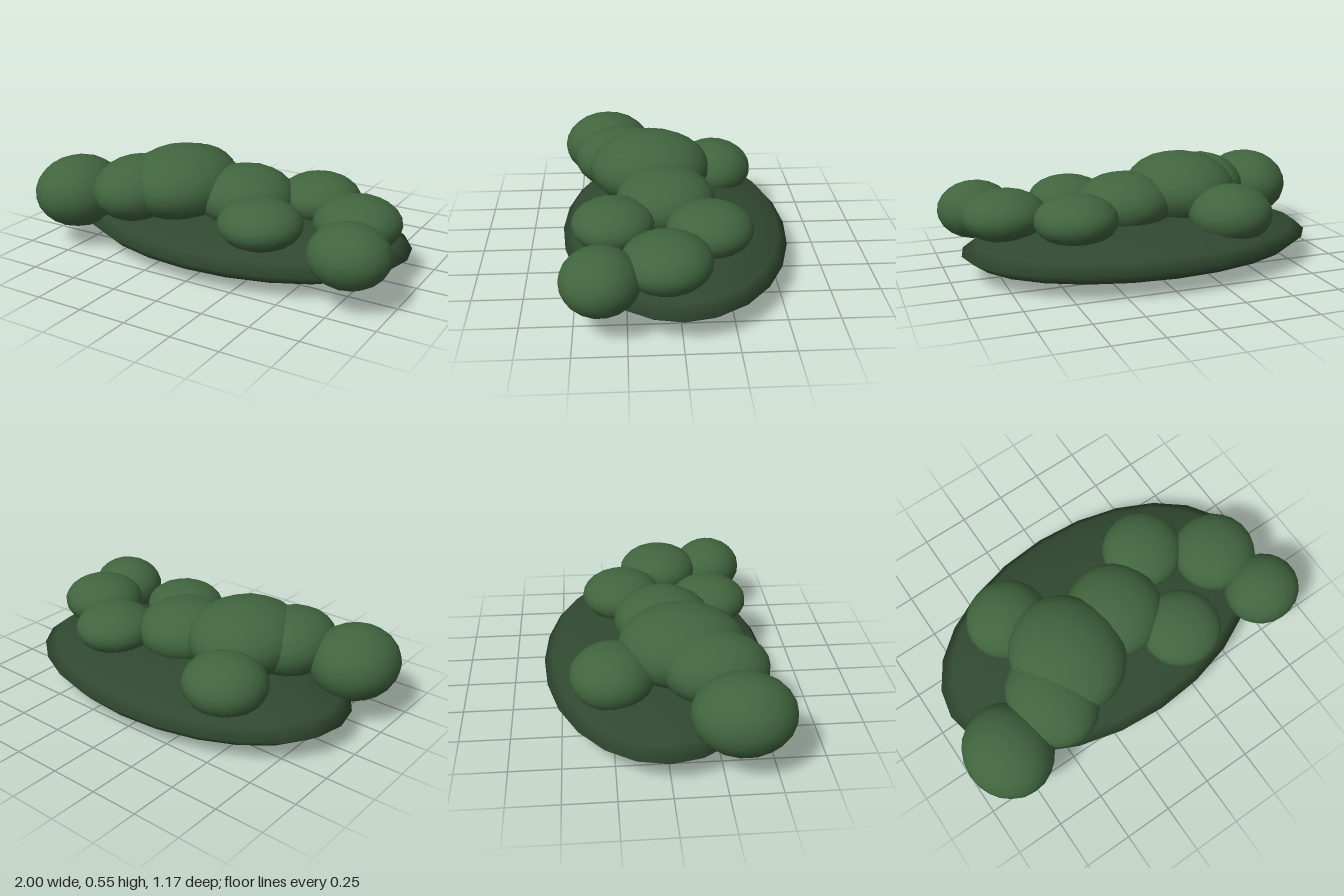
import * as THREE from 'three';

const leafGreen = new THREE.MeshStandardMaterial({ color: 0x41653f });
leafGreen.name = 'leaf green';
const darkGreen = new THREE.MeshStandardMaterial({ color: 0x304830 });
darkGreen.name = 'dark green';

// Centre and radii of each rounded clump of foliage
const clumps = [
  { name: 'frontRightClump', at: [-0.775, 0.285, 0.34], size: [0.225, 0.187, 0.247] },
  { name: 'innerRightClump', at: [-0.45, 0.333, 0.25], size: [0.225, 0.168, 0.267] },
  { name: 'crownClump', at: [-0.265, 0.355, 0.11], size: [0.292, 0.192, 0.322] },
  { name: 'middleClump', at: [0.075, 0.315, 0.04], size: [0.255, 0.162, 0.255] },
  { name: 'backRightClump', at: [-0.405, 0.282, -0.245], size: [0.217, 0.153, 0.21] },
  { name: 'backLeftClump', at: [0.395, 0.305, -0.16], size: [0.212, 0.128, 0.214] },
  { name: 'frontMiddleClump', at: [0.307, 0.3, 0.31], size: [0.21, 0.122, 0.206] },
  { name: 'sideLeftClump', at: [0.705, 0.302, 0.065], size: [0.217, 0.133, 0.216] },
  { name: 'frontLeftClump', at: [0.798, 0.266, 0.368], size: [0.199, 0.153, 0.187] },
];

function ellipsoid(name, geometry, material, at, size) {
  const mesh = new THREE.Mesh(geometry, material);
  mesh.name = name;
  mesh.position.set(...at);
  mesh.scale.set(...size);
  return mesh;
}

export function createModel() {
  const group = new THREE.Group();
  group.name = 'bush';

  // Flat lens-shaped bed under the foliage
  const lens = new THREE.SphereGeometry(1, 24, 8);
  group.add(ellipsoid('base', lens, darkGreen, [0.01, 0.131, -0.008], [0.93, 0.131, 0.58]));

  // Overlapping foliage clumps
  const ball = new THREE.IcosahedronGeometry(1, 3);
  for (const c of clumps) group.add(ellipsoid(c.name, ball, leafGreen, c.at, c.size));
  return group;
}
